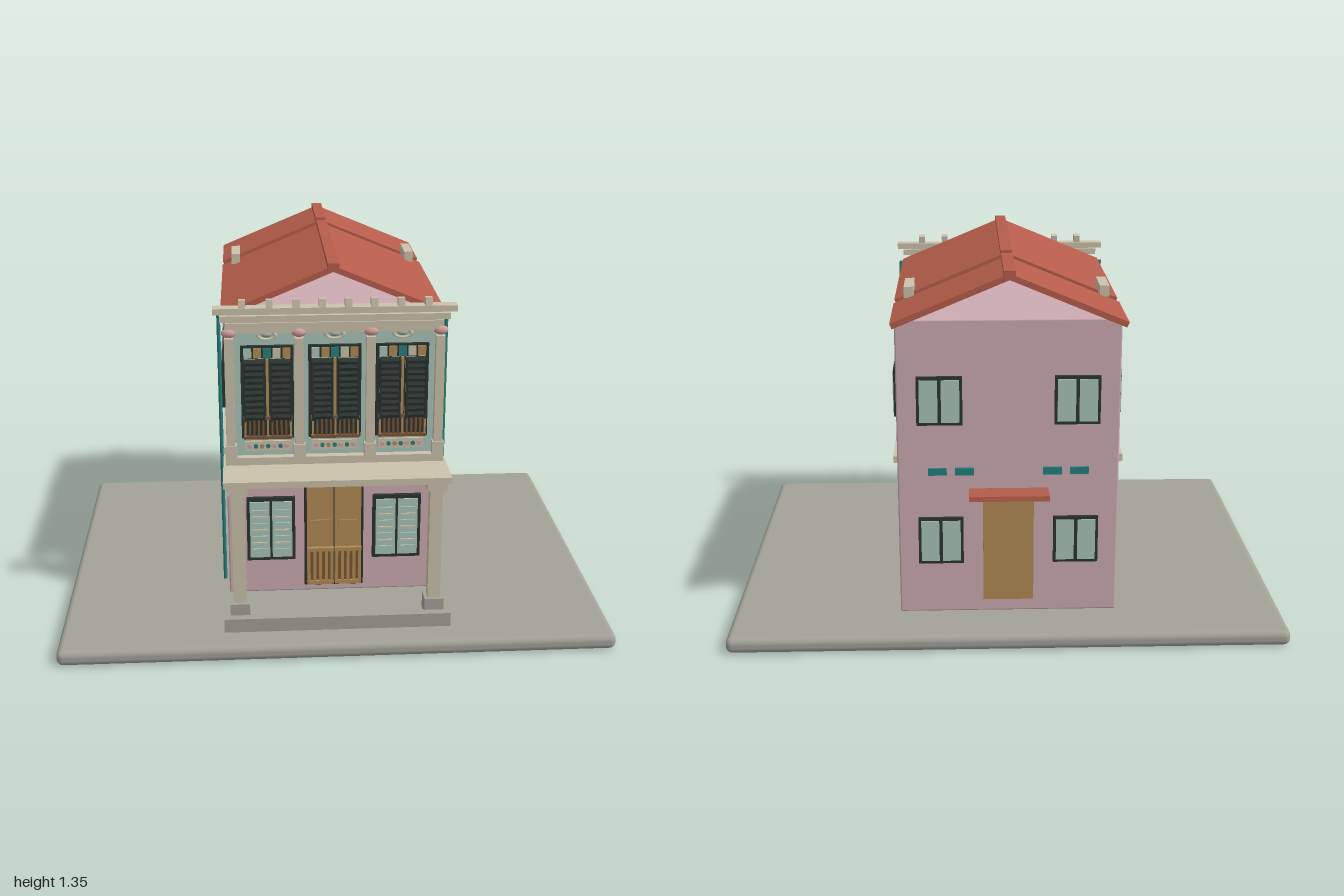
import * as THREE from 'three';
import { RoundedBoxGeometry } from 'three/addons/geometries/RoundedBoxGeometry.js';

const paint = (name, color) => {
  const m = new THREE.MeshStandardMaterial({ color });
  m.name = name;
  return m;
};

export function createModel() {
  const pink = paint('pinkPlaster', 0xcbabb1);
  const red = paint('roofTile', 0xb65d4b);
  const mint = paint('mintPaint', 0xa9c6b9);
  const cream = paint('creamStone', 0xcbc2ab);
  const grey = paint('greyStone', 0xa2a298);
  const dark = paint('darkFrame', 0x2b3331);
  const wood = paint('wood', 0xb38b55);
  const darkWood = paint('darkWood', 0x7a5434);
  const teal = paint('tealGlaze', 0x23807d);
  const rose = paint('roseTile', 0xd3a09c);

  const model = new THREE.Group();
  const group = (name, parent = model) => {
    const g = new THREE.Group();
    g.name = name;
    parent.add(g);
    return g;
  };
  const mesh = (parent, name, geo, mat, x = 0, y = 0, z = 0) => {
    const m = new THREE.Mesh(geo, mat);
    m.name = name;
    m.position.set(x, y, z);
    parent.add(m);
    return m;
  };
  // Box given by centre and size
  const box = (parent, name, mat, x, y, z, w, h, d) =>
    mesh(parent, name, new THREE.BoxGeometry(w, h, d), mat, x, y, z);
  // Box given by its y and z limits, centred on x
  const span = (parent, name, mat, x, w, y0, y1, z0, z1) =>
    box(parent, name, mat, x, (y0 + y1) / 2, (z0 + z1) / 2, w, y1 - y0, z1 - z0);

  // Ground slab and house body
  mesh(model, 'groundSlab', new RoundedBoxGeometry(2, 0.058, 1.54, 3, 0.024), grey, 0, 0.029, 0);
  mesh(model, 'houseBody', new RoundedBoxGeometry(0.78, 1.09, 0.915, 2, 0.006), pink, 0, 0.615, -0.1325);

  // Two roof sections with an open slot between them
  const roof = group('roof');
  const rise = 0.165, run = 0.395;
  for (const [z0, z1] of [[-0.34, 0.395], [-0.7, -0.4]]) {
    for (const s of [-1, 1]) {
      const slope = box(roof, 'roofSlope', red, s * run / 2, 1.247, (z0 + z1) / 2,
        Math.hypot(rise, run), 0.02, z1 - z0);
      slope.rotation.z = -s * Math.atan2(rise, run);
    }
    span(roof, 'ridgeCap', red, 0, 0.04, 1.32, 1.35, z0 - 0.006, z1 + 0.006);
  }
  for (const s of [-1, 1]) span(roof, 'roofBracket', cream, s * 0.345, 0.034, 1.195, 1.235, -0.41, -0.26);

  // Framed window facing +z in its own space
  const casement = (parent, name, w, h) => {
    const g = group(name, parent);
    box(g, 'windowFrame', dark, 0, 0, 0.006, w, h, 0.018);
    for (const s of [-1, 1])
      box(g, 'windowPane', mint, s * (w / 4 - 0.002), 0, 0.014, w / 2 - 0.016, h - 0.022, 0.009);
    return g;
  };

  // Side walls: windows, string course and downpipe
  for (const s of [-1, 1]) {
    const side = group(s > 0 ? 'leftWallDetails' : 'rightWallDetails');
    for (const z of [0.193, -0.107, -0.403]) {
      const win = casement(side, 'sideWindow', 0.175, 0.175);
      win.position.set(s * 0.387, 0.872, z);
      win.rotation.y = s * Math.PI / 2;
    }
    span(side, 'stringCourse', cream, s * 0.394, 0.022, 0.635, 0.66, -0.565, 0.375);
    mesh(side, 'downpipe', new THREE.CylinderGeometry(0.007, 0.007, 1.04, 10), teal, s * 0.406, 0.65, 0.371);
  }

  // Back wall: windows, vents, door and awning
  const back = group('backWallDetails');
  for (const s of [-1, 1]) {
    for (const y of [0.873, 0.352]) {
      const win = casement(back, 'backWindow', 0.16, 0.175);
      win.position.set(s * 0.24, y, -0.587);
      win.rotation.y = Math.PI;
    }
    for (const x of [0.155, 0.25]) box(back, 'airVent', teal, s * x, 0.612, -0.593, 0.066, 0.026, 0.012);
  }
  span(back, 'backDoor', wood, 0, 0.18, 0.12, 0.54, -0.602, -0.585);
  const awning = box(back, 'backAwning', red, 0, 0.545, -0.65, 0.28, 0.018, 0.13);
  awning.rotation.x = 0.13;

  // Porch: floor, step, columns and canopy
  const porch = group('porch');
  span(porch, 'porchFloor', grey, 0, 0.79, 0.07, 0.1, 0.405, 0.65);
  span(porch, 'porchStep', grey, 0, 0.815, 0.07, 0.122, 0.645, 0.682);
  for (const s of [-1, 1]) {
    span(porch, 'columnBase', grey, s * 0.35, 0.07, 0.1, 0.165, 0.582, 0.652);
    span(porch, 'columnShaft', cream, s * 0.35, 0.046, 0.165, 0.6, 0.596, 0.638);
    span(porch, 'columnCapital', cream, s * 0.35, 0.07, 0.588, 0.616, 0.582, 0.652);
  }
  span(porch, 'canopySlab', cream, 0, 0.8, 0.616, 0.64, 0.4, 0.655);
  span(porch, 'canopyLedge', cream, 0, 0.78, 0.638, 0.668, 0.457, 0.496);

  // Ground floor front
  const lower = group('groundFloorFront');
  mesh(lower, 'lowerFacade', new RoundedBoxGeometry(0.78, 0.505, 0.04, 2, 0.006), pink, 0, 0.352, 0.41);
  for (const s of [-1, 1]) {
    span(lower, 'frontWindowFrame', dark, s * 0.232, 0.178, 0.238, 0.488, 0.425, 0.446);
    for (const t of [-1, 1]) {
      const x = s * 0.232 + t * 0.041;
      span(lower, 'frontShutter', mint, x, 0.073, 0.252, 0.474, 0.44, 0.452);
      for (let i = 0; i < 7; i++)
        box(lower, 'shutterSlat', i % 2 ? cream : mint, x, 0.285 + i * 0.026, 0.453, 0.055, 0.006, 0.008);
    }
  }
  span(lower, 'doorFrame', dark, 0, 0.218, 0.13, 0.562, 0.425, 0.446);
  for (const s of [-1, 1]) {
    span(lower, 'doorLeaf', wood, s * 0.051, 0.098, 0.143, 0.553, 0.44, 0.454);
    span(lower, 'doorPanel', wood, s * 0.051, 0.068, 0.315, 0.4, 0.452, 0.459);
    // Slatted half door
    span(lower, 'halfDoorBacking', darkWood, s * 0.051, 0.096, 0.15, 0.295, 0.464, 0.472);
    for (const y of [0.156, 0.29]) box(lower, 'halfDoorRail', wood, s * 0.051, y, 0.474, 0.098, 0.014, 0.014);
    for (let i = 0; i < 5; i++)
      box(lower, 'halfDoorBar', wood, s * (0.0085 + i * 0.0213), 0.223, 0.474, 0.011, 0.13, 0.012);
  }
  [wood, teal, cream, teal, wood, cream].forEach((m, i) =>
    box(lower, 'doorFanlightPane', m, -0.0825 + i * 0.033, 0.575, 0.45, 0.029, 0.042, 0.009));

  // Upper floor front
  const upper = group('upperFloorFront');
  mesh(upper, 'upperFacade', new RoundedBoxGeometry(0.77, 0.49, 0.062, 2, 0.006), mint, 0, 0.89, 0.437);
  for (const x of [-0.37, -0.126, 0.126, 0.37]) {
    span(upper, 'pilaster', cream, x, 0.032, 0.71, 1.11, 0.465, 0.496);
    span(upper, 'pilasterFoot', cream, x, 0.042, 0.666, 0.715, 0.465, 0.5);
    const rosette = mesh(upper, 'pilasterRosette', new THREE.SphereGeometry(0.026, 14, 8), rose, x, 1.13, 0.488);
    rosette.scale.set(1, 0.65, 0.6);
  }

  const bay = (x) => {
    const g = group('windowBay', upper);
    g.position.x = x;
    span(g, 'bayFrame', dark, 0, 0.186, 0.738, 1.08, 0.465, 0.482);
    // Coloured fanlight panes
    [mint, wood, teal, cream, wood].forEach((m, i) =>
      box(g, 'fanlightPane', m, -0.068 + i * 0.034, 1.055, 0.484, 0.028, 0.036, 0.008));
    // Louvred shutters
    for (const s of [-1, 1]) {
      for (const e of [-1, 1])
        span(g, 'shutterStile', dark, s * 0.046 + e * 0.034, 0.006, 0.815, 1.035, 0.505, 0.528);
      span(g, 'shutterLeaf', mint, s * 0.046, 0.07, 0.815, 1.035, 0.484, 0.492);
      for (let i = 0; i < 10; i++) {
        const slat = box(g, 'louvreSlat', dark, s * 0.046, 0.828 + i * 0.0222, 0.508, 0.07, 0.011, 0.03);
        slat.rotation.x = 0.25;
      }
    }
    span(g, 'centrePost', wood, 0, 0.01, 0.82, 1.035, 0.48, 0.492);
    // Wooden balustrade
    for (const y of [0.752, 0.825]) box(g, 'balustradeRail', darkWood, 0, y, 0.512, 0.172, 0.01, 0.014);
    for (let i = 0; i < 11; i++)
      box(g, 'baluster', i % 5 ? darkWood : wood, -0.08 + i * 0.016, 0.788, 0.512, 0.007, 0.075, 0.01);
    // Tiled panel under the window
    box(g, 'tilePanel', cream, 0, 0.705, 0.471, 0.165, 0.036, 0.009);
    [rose, teal, wood, teal, rose, teal, rose].forEach((m, i) => {
      const tile = mesh(g, 'tileFlower', new THREE.CylinderGeometry(0.008, 0.008, 0.008, 10), m,
        -0.066 + i * 0.022, 0.705, 0.477);
      tile.rotation.x = Math.PI / 2;
    });
    // Oval medallion above
    const ring = mesh(g, 'medallionRing', new THREE.TorusGeometry(0.029, 0.007, 8, 24), cream, 0, 1.117, 0.474);
    ring.scale.set(1.05, 0.5, 1);
    const core = mesh(g, 'medallionCore', new THREE.SphereGeometry(0.018, 14, 8), grey, 0, 1.117, 0.47);
    core.scale.set(1, 0.5, 0.5);
  };
  [-0.238, 0, 0.238].forEach(bay);

  // Stepped parapet with blocks
  const parapet = group('parapet');
  span(parapet, 'parapetBase', cream, 0, 0.76, 1.146, 1.168, 0.472, 0.5);
  span(parapet, 'parapetBand', cream, 0, 0.8, 1.174, 1.196, 0.476, 0.51);
  span(parapet, 'parapetCore', cream, 0, 0.74, 1.13, 1.21, 0.478, 0.494);
  span(parapet, 'parapetCornice', cream, 0, 0.845, 1.202, 1.224, 0.468, 0.514);
  for (const s of [-1, 1]) for (const x of [0.045, 0.135, 0.228, 0.322]) {
    const block = box(parapet, 'parapetBlock', cream, s * x, 1.237, 0.498, 0.024, 0.03, 0.036);
    block.rotation.x = -0.12;
  }
  return model;
}
